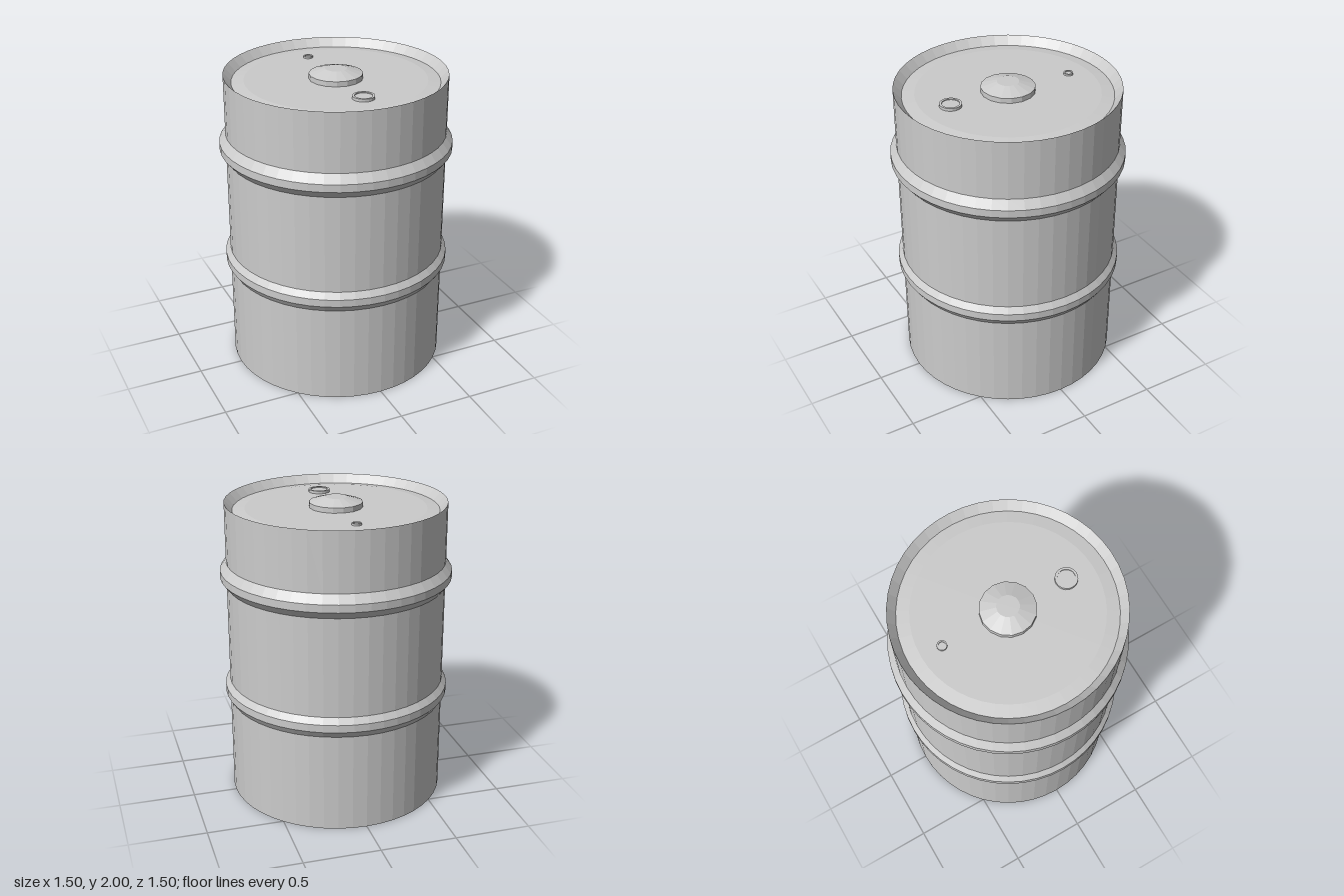
import * as THREE from 'three';

const material = new THREE.MeshStandardMaterial({ color: 0xcccccc, flatShading: true });

// Revolve a profile of [radius, height] pairs, listed from the underside outwards and up
function turned(name, profile, sides) {
  const points = profile.map(([r, y]) => new THREE.Vector2(r, y));
  const mesh = new THREE.Mesh(new THREE.LatheGeometry(points, sides), material);
  mesh.name = name;
  return mesh;
}

export function createModel() {
  const group = new THREE.Group();
  group.name = 'drum';
  const R = 0.71, lidY = 1.935;

  // Shell with dished base, two rolling hoops, chamfered rim and sunken lid
  group.add(turned('drumBody', [
    [0, 0.012], [0.61, 0.012], [R, 0],
    [R, 0.655], [0.74, 0.7], [0.74, 0.75], [R, 0.79],
    [R, 1.44], [0.75, 1.49], [0.75, 1.54], [R, 1.595],
    [R, 1.98], [0.66, 1.925], [0.58, lidY], [0, lidY],
  ], 48));

  // Faceted cap in the middle of the lid
  group.add(turned('centreCap', [
    [0.172, lidY - 0.01], [0.172, 1.968], [0.07, 2], [0, 2],
  ], 16));

  // Filler and vent plugs, each a raised ring around a slightly sunken disc
  const plug = (name, r, inner, height, z) => {
    const mesh = turned(name, [
      [r, -0.01], [r, height], [inner, height], [inner, height - 0.006], [0, height - 0.006],
    ], 20);
    mesh.position.set(0, lidY, z);
    group.add(mesh);
  };
  plug('fillerPlug', 0.07, 0.055, 0.018, 0.4);
  plug('ventPlug', 0.031, 0.022, 0.012, -0.443);

  return group;
}
